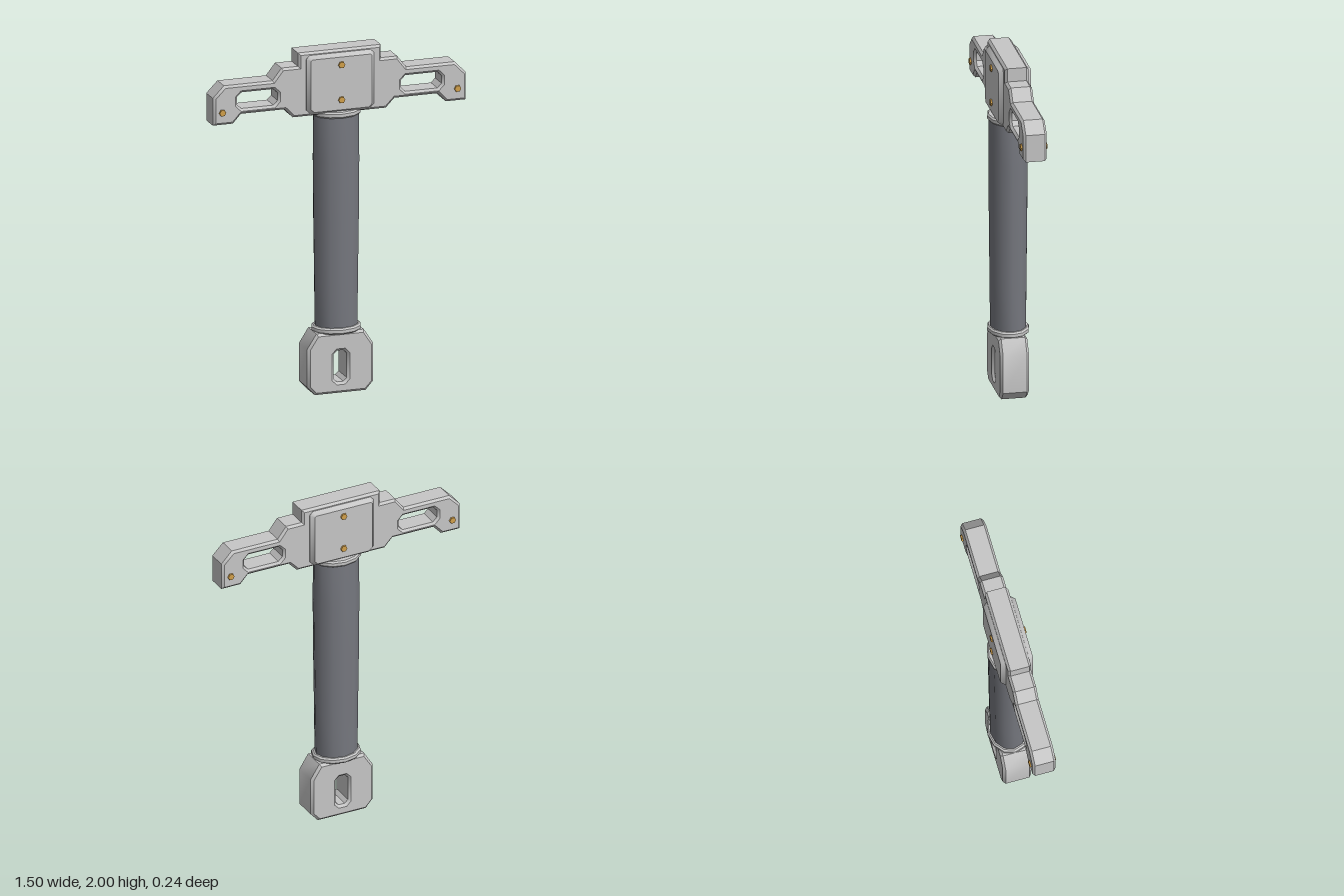
import * as THREE from 'three';
import { toCreasedNormals } from 'three/addons/utils/BufferGeometryUtils.js';

const steel = new THREE.MeshStandardMaterial({ name: 'steel', color: 0xc6c6c6 });
const grip = new THREE.MeshStandardMaterial({ name: 'darkGrip', color: 0x76787f });
const brass = new THREE.MeshStandardMaterial({ name: 'brass', color: 0xd2a04a });

const vec = (list) => list.map(([x, y]) => new THREE.Vector2(x, y));

// Closed clockwise outline from its +x half, listed top to bottom
function mirrored(half) {
  return vec([...half, ...half.map(([x, y]) => [-x, y]).reverse()]);
}

// Counter-clockwise rectangle with cut corners, used for slots
function cutRect(cx, cy, w, h, c) {
  const x = w / 2, y = h / 2;
  return vec([[c - x, y], [-x, y - c], [-x, c - y], [c - x, -y], [x - c, -y], [x, c - y], [x, y - c], [x - c, y]]
    .map(([a, b]) => [cx + a, cy + b]));
}

// Slab centred on z = 0 with bevelled rims kept inside the outline
function slab(name, outline, holes, halfDepth, bevel, bevelDepth = bevel) {
  const shape = new THREE.Shape(outline);
  holes.forEach((h) => shape.holes.push(new THREE.Path(h)));
  const depth = 2 * (halfDepth - bevelDepth);
  const geo = new THREE.ExtrudeGeometry(shape, {
    depth, bevelEnabled: true, bevelSegments: 1,
    bevelSize: bevel, bevelOffset: -bevel, bevelThickness: bevelDepth,
  });
  geo.translate(0, 0, -depth / 2);
  const mesh = new THREE.Mesh(toCreasedNormals(geo, 0.62), steel);
  mesh.name = name;
  return mesh;
}

// Twelve-sided turned part, flattened to an oval in z
function turned(name, profile, material) {
  const geo = toCreasedNormals(new THREE.LatheGeometry(vec(profile), 12), 0.6);
  geo.scale(1, 1, 0.82);
  const mesh = new THREE.Mesh(geo, material);
  mesh.name = name;
  return mesh;
}

function collar(name, y) {
  return turned(name, [[0, y - 0.018], [0.134, y - 0.018], [0.144, y - 0.009],
    [0.144, y + 0.009], [0.134, y + 0.018], [0, y + 0.018]], steel);
}

export function createModel() {
  const model = new THREE.Group();
  model.name = 'hilt';

  // Pommel with a lanyard slot
  model.add(slab('pommel',
    mirrored([[0.14, 0.355], [0.195, 0.27], [0.195, 0.05], [0.15, 0]]),
    [cutRect(0, 0.155, 0.078, 0.182, 0.02)], 0.082, 0.014));

  // Handle and its two collars
  model.add(turned('handle', [[0, 0.37], [0.125, 0.37], [0.128, 0.65], [0.133, 1.0],
    [0.136, 1.35], [0.134, 1.62], [0, 1.62]], grip));
  model.add(collar('lowerCollar', 0.368), collar('upperCollar', 1.627));

  // Stepped crossguard with a slot in each arm
  model.add(slab('crossguard', mirrored([
    [0.245, 2], [0.245, 1.922], [0.342, 1.922], [0.395, 1.854], [0.682, 1.854], [0.748, 1.787],
    [0.748, 1.628], [0.63, 1.628], [0.582, 1.68], [0.325, 1.68], [0.275, 1.628],
  ]), [-1, 1].map((s) => cutRect(s * 0.485, 1.758, 0.24, 0.094, 0.025)), 0.067, 0.013));

  // Raised centre block, proud of the guard on both faces
  model.add(slab('centreBlock', mirrored([
    [0.18, 1.982], [0.2, 1.962], [0.2, 1.665], [0.17, 1.635],
  ]), [], 0.093, 0.02, 0.025));

  // Hexagonal rivets on both faces
  const rivetGeo = new THREE.CylinderGeometry(0.019, 0.022, 0.016, 6, 1, false, Math.PI / 6).toNonIndexed();
  rivetGeo.computeVertexNormals();
  rivetGeo.rotateX(Math.PI / 2);
  const spots = [[0, 1.917, 0.094], [0, 1.713, 0.094], [-0.695, 1.7, 0.068], [0.695, 1.7, 0.068]];
  for (const [x, y, z] of spots) {
    for (const side of [1, -1]) {
      const rivet = new THREE.Mesh(rivetGeo, brass);
      rivet.name = side > 0 ? 'frontRivet' : 'backRivet';
      rivet.position.set(x, y, side * z);
      if (side < 0) rivet.rotation.y = Math.PI;
      model.add(rivet);
    }
  }
  return model;
}
